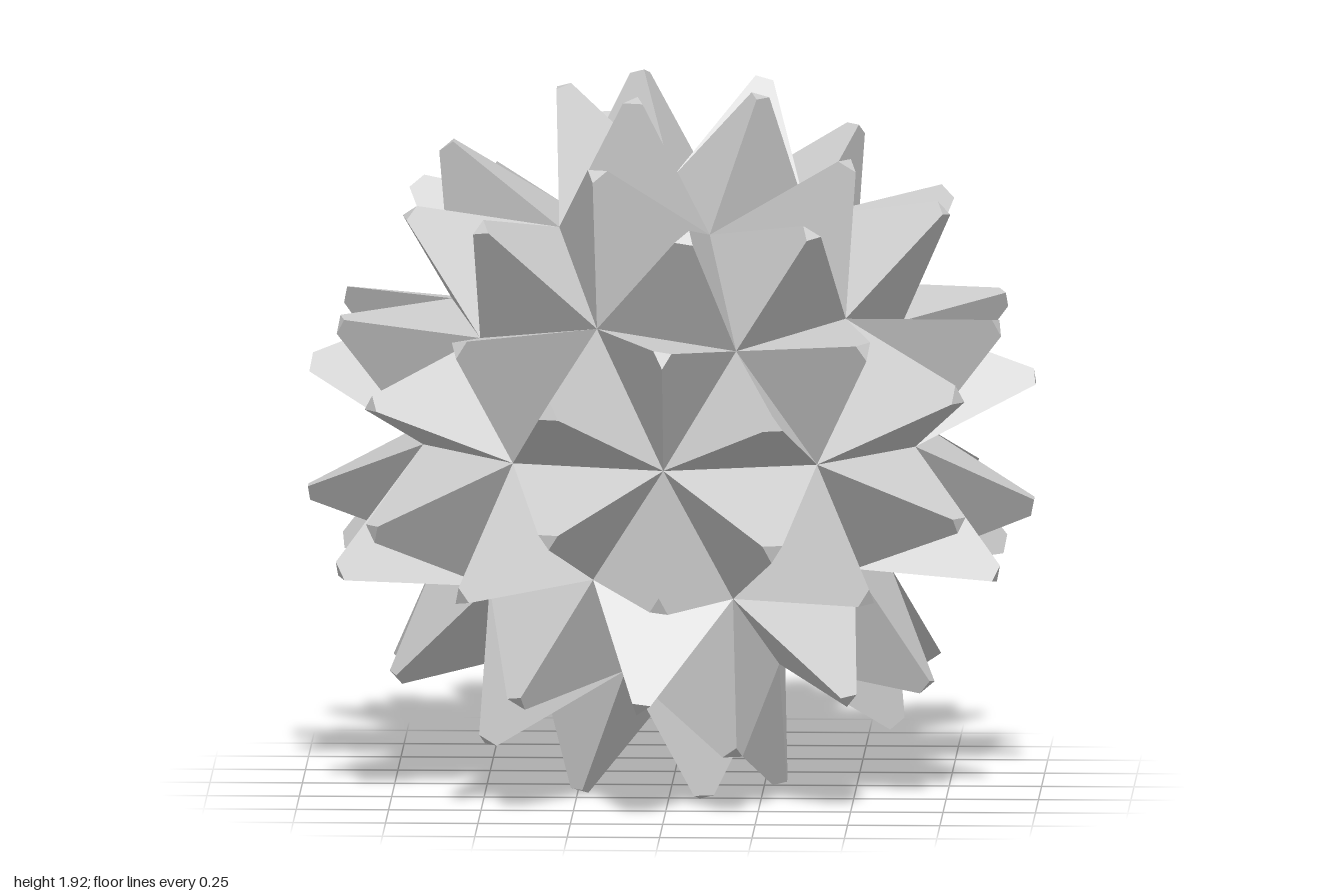
import * as THREE from 'three';

const CENTRE_Y = 0.96;   // ball centre above the ground
const VALLEY_R = 0.70;   // radius of the points where spikes meet
const TIP_R = 0.995;     // radius of the blunt spike ends
const TIP_SCALE = 0.13;  // size of the blunt end relative to the spike base

// Icosahedron standing on a vertex, each face split into four
function sphereTriangles() {
  const verts = [0, 1, 0];
  const ring = (y, offset) => {
    for (let i = 0; i < 5; i++) {
      const a = (i + offset) * Math.PI * 0.4;
      verts.push(Math.cos(a) * 2 / Math.sqrt(5), y, Math.sin(a) * 2 / Math.sqrt(5));
    }
  };
  ring(1 / Math.sqrt(5), 0);
  ring(-1 / Math.sqrt(5), 0.5);
  verts.push(0, -1, 0);

  const faces = [];
  for (let i = 0; i < 5; i++) {
    const j = (i + 1) % 5;
    const u0 = 1 + i, u1 = 1 + j, l0 = 6 + i, l1 = 6 + j;
    faces.push(0, u1, u0, u0, u1, l0, l0, u1, l1, 11, l0, l1);
  }
  const pos = new THREE.PolyhedronGeometry(verts, faces, VALLEY_R, 1).getAttribute('position');
  const triangles = [];
  for (let i = 0; i < pos.count; i += 3) {
    triangles.push([0, 1, 2].map(k => new THREE.Vector3().fromBufferAttribute(pos, i + k)));
  }
  return triangles;
}

// Three-sided spike with a small blunt end, raised on one triangle
function spikeGeometry(base) {
  const centroid = new THREE.Vector3();
  base.forEach(p => centroid.addScaledVector(p, 1 / 3));
  const tipCentre = centroid.clone().setLength(TIP_R);
  const tip = base.map(p => p.clone().sub(centroid).multiplyScalar(TIP_SCALE).add(tipCentre));

  const points = [...tip];
  for (let i = 0; i < 3; i++) {
    const j = (i + 1) % 3;
    points.push(base[i], base[j], tip[j], base[i], tip[j], tip[i]);
  }
  const geometry = new THREE.BufferGeometry().setFromPoints(points);
  geometry.computeVertexNormals();
  return geometry;
}

export function createModel() {
  const model = new THREE.Group();
  model.name = 'spikyPaperBall';
  const material = new THREE.MeshStandardMaterial({
    color: 0xcccccc, flatShading: true, side: THREE.DoubleSide,
  });

  // One spike on every triangle of the ball
  const spikes = new THREE.Group();
  spikes.name = 'spikes';
  spikes.position.y = CENTRE_Y;
  sphereTriangles().forEach((triangle, i) => {
    const spike = new THREE.Mesh(spikeGeometry(triangle), material);
    spike.name = `spike${i + 1}`;
    spikes.add(spike);
  });
  model.add(spikes);
  return model;
}
